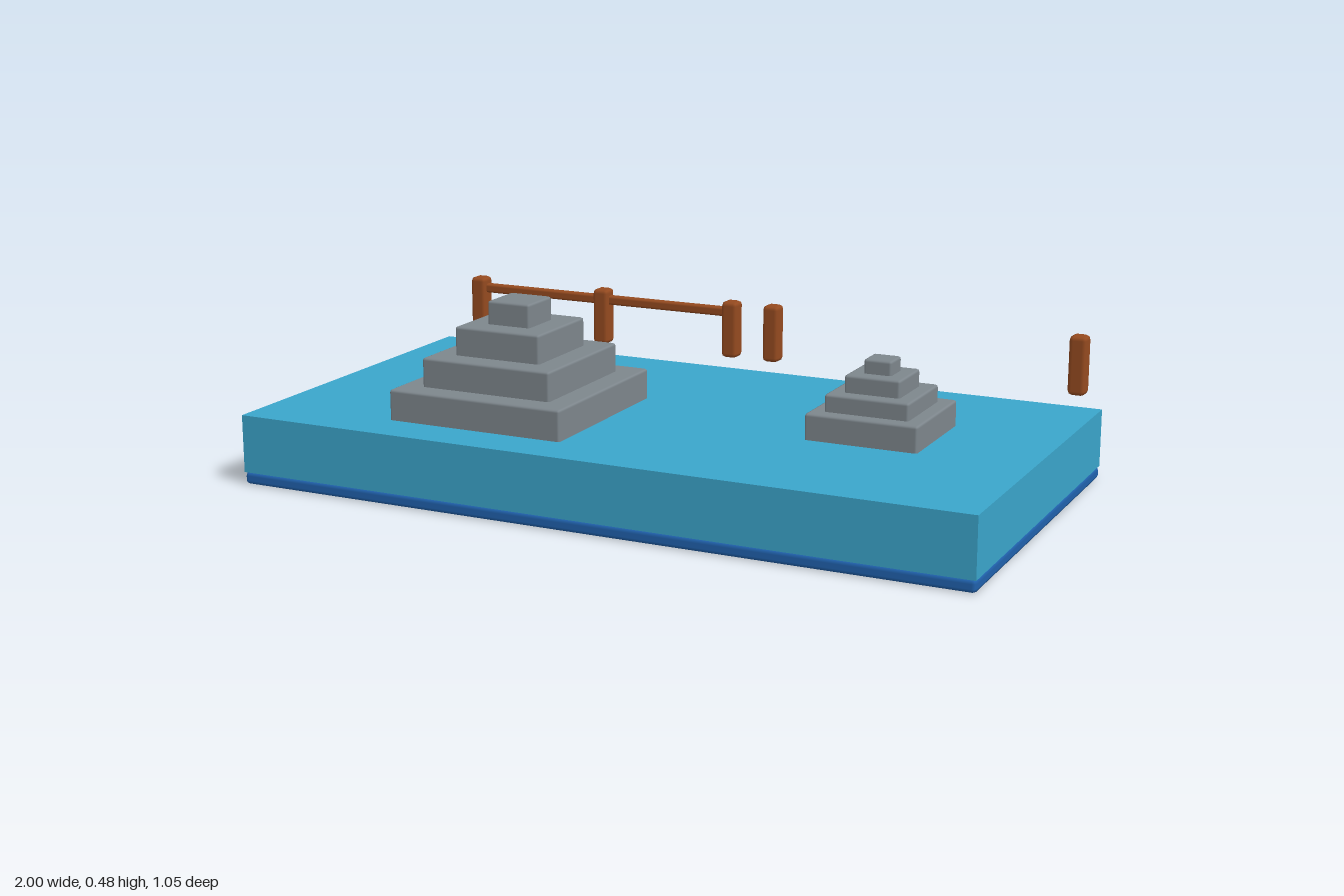
import * as THREE from 'three';
import { RoundedBoxGeometry } from 'three/addons/geometries/RoundedBoxGeometry.js';

const material = (name, color) => {
  const m = new THREE.MeshStandardMaterial({ color });
  m.name = name;
  return m;
};

export function createModel() {
  const water = material('water blue', 0x3ba6cc);
  const deep = material('deep blue', 0x2062ae);
  const stone = material('stone grey', 0x7e878d);
  const wood = material('wood brown', 0x964b20);

  const model = new THREE.Group();
  model.name = 'pond';

  // Box given by its centre in x and z, its bottom and its size; bevel 0 keeps sharp edges
  function box(parent, name, mat, [x, bottom, z], [w, h, d], bevel) {
    const geometry = bevel
      ? new RoundedBoxGeometry(w, h, d, 1, bevel)
      : new THREE.BoxGeometry(w, h, d);
    const mesh = new THREE.Mesh(geometry, mat);
    mesh.name = name;
    mesh.position.set(x, bottom + h / 2, z);
    parent.add(mesh);
  }

  function group(name) {
    const g = new THREE.Group();
    g.name = name;
    model.add(g);
    return g;
  }

  // Floor plate and water block
  box(model, 'floorPlate', deep, [0, 0, 0.01], [2, 0.034, 1.03], 0.011);
  box(model, 'waterBlock', water, [0, 0.033, 0.01], [2, 0.154, 1.03], 0);

  // Stepped rocks: each tier is sunk a little into the one below
  function steppedRock(name, x, z, widths, levels) {
    const rock = group(name);
    const sink = 0.012;
    widths.forEach((w, i) => {
      const h = levels[i + 1] - levels[i] + sink;
      box(rock, `tier${i + 1}`, stone, [x, levels[i] - sink, z], [w, h, w], 0.007);
    });
  }
  steppedRock('largeRock', -0.378, 0.15, [0.497, 0.372, 0.247, 0.123],
    [0.187, 0.268, 0.345, 0.421, 0.483]);
  steppedRock('smallRock', 0.558, -0.037, [0.298, 0.223, 0.148, 0.074],
    [0.187, 0.255, 0.3, 0.345, 0.382]);

  // Fence along the back edge, with one rail between the first three posts
  const fence = group('fence');
  const fenceZ = -0.5;
  for (const x of [-0.88, -0.473, -0.066, 0.06, 0.934]) {
    box(fence, 'post', wood, [x, 0.222, fenceZ], [0.048, 0.16, 0.05], 0.012);
  }
  box(fence, 'rail', wood, [-0.473, 0.337, fenceZ], [0.82, 0.026, 0.026], 0.007);

  return model;
}
